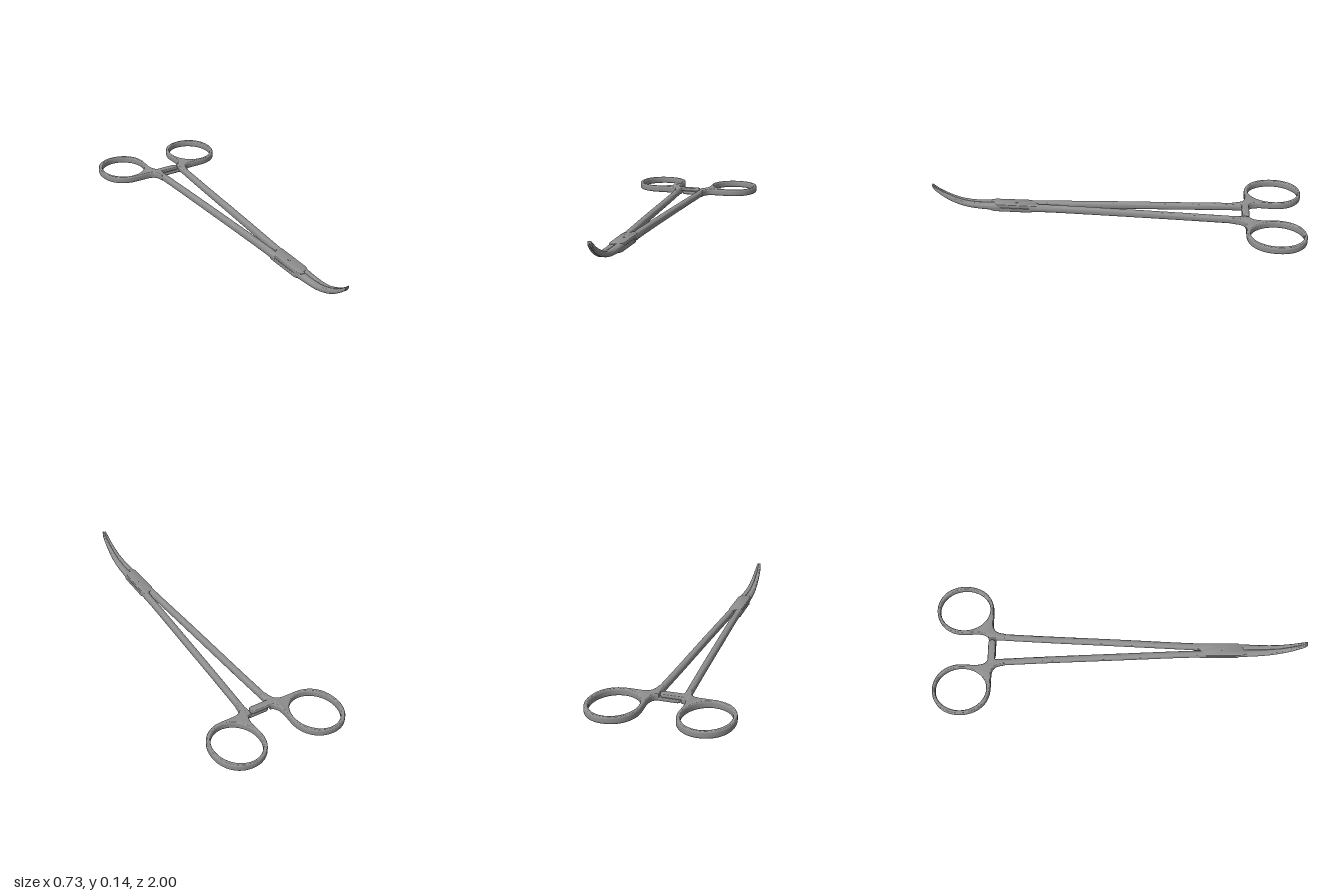
import * as THREE from 'three';
import { toCreasedNormals } from 'three/addons/utils/BufferGeometryUtils.js';

const steel = new THREE.MeshStandardMaterial({ color: 0x909090 });

function part(name, geometry) {
  const mesh = new THREE.Mesh(toCreasedNormals(geometry, 0.7), steel);
  mesh.name = name;
  return mesh;
}

// Flat part: outline drawn in (u, z), mirrored by side, between two heights
function plate(name, outline, side, y0, y1, bevelHeight, bevelWidth) {
  const map = (path, n) => path.getPoints(n).map((p) => new THREE.Vector2(side * p.x, -p.y));
  const shape = new THREE.Shape(map(outline, 16));
  shape.holes = outline.holes.map((h) => new THREE.Path(map(h, 64)));
  const geo = new THREE.ExtrudeGeometry(shape, {
    depth: y1 - y0 - 2 * bevelHeight, bevelEnabled: true, bevelThickness: bevelHeight,
    bevelSize: bevelWidth, bevelOffset: -bevelWidth, bevelSegments: 4,
  });
  geo.rotateX(-Math.PI / 2).translate(0, y0 + bevelHeight, 0);
  return part(name, geo);
}

// Bar lofted along z through stations [z, inner, outer, bottom, top];
// powers set how square the +u and -u halves of the section are
function loft(name, stations, side, powers, steps) {
  const N = 28, pos = [], index = [];
  const widths = new THREE.CatmullRomCurve3(stations.map((s) => new THREE.Vector3(s[0], s[1], s[2])));
  const heights = new THREE.CatmullRomCurve3(stations.map((s) => new THREE.Vector3(s[0], s[3], s[4])));
  const round = (v, power) => Math.sign(v) * Math.abs(v) ** (2 / power);
  const tri = (a, b, c) => (side > 0 ? index.push(a, b, c) : index.push(a, c, b));
  const centres = [];
  for (let i = 0; i <= steps; i++) {
    const w = widths.getPoint(i / steps), h = heights.getPoint(i / steps);
    const uc = (w.y + w.z) / 2, ru = Math.abs(w.z - w.y) / 2;
    const yc = (h.y + h.z) / 2, ry = (h.z - h.y) / 2;
    centres.push([side * uc, yc, w.x]);
    for (let j = 0; j < N; j++) {
      const a = (j / N) * Math.PI * 2;
      const power = Math.cos(a) > 0 ? powers[0] : powers[1];
      pos.push(side * (uc + ru * round(Math.cos(a), power)), yc + ry * round(Math.sin(a), power), w.x);
    }
  }
  const first = pos.length / 3;
  pos.push(...centres[0], ...centres[steps]);
  for (let j = 0; j < N; j++) {
    const k = (j + 1) % N;
    for (let i = 0; i < steps; i++) {
      const a = i * N + j, b = i * N + k;
      tri(a, b, a + N);
      tri(b, b + N, a + N);
    }
    tri(first, k, j);
    tri(first + 1, steps * N + j, steps * N + k);
  }
  const geo = new THREE.BufferGeometry();
  geo.setAttribute('position', new THREE.Float32BufferAttribute(pos, 3));
  geo.setIndex(index);
  return part(name, geo);
}

// Finger ring flowing into the top of the shank
function handleOutline() {
  const s = new THREE.Shape();
  s.moveTo(0.057, -0.62);
  s.lineTo(0.087, -0.62);
  s.bezierCurveTo(0.091, -0.67, 0.105, -0.69, 0.15, -0.69);
  s.lineTo(0.215, -0.69);
  s.bezierCurveTo(0.31, -0.69, 0.365, -0.76, 0.365, -0.85);
  s.bezierCurveTo(0.365, -0.935, 0.31, -1, 0.228, -1);
  s.bezierCurveTo(0.145, -1, 0.088, -0.935, 0.088, -0.85);
  s.lineTo(0.092, -0.78);
  s.bezierCurveTo(0.09, -0.735, 0.08, -0.715, 0.056, -0.712);
  s.lineTo(0.056, -0.672);
  s.bezierCurveTo(0.06, -0.665, 0.059, -0.65, 0.057, -0.62);
  s.holes.push(new THREE.Path().absellipse(0.226, -0.847, 0.119, 0.136, 0, Math.PI * 2));
  return s;
}

// Ratchet bar reaching across to the other handle
function ratchetOutline() {
  const s = new THREE.Shape();
  s.moveTo(0.085, -0.712);
  s.lineTo(-0.033, -0.712);
  s.absarc(-0.033, -0.692, 0.02, -Math.PI / 2, Math.PI / 2, true);
  s.lineTo(0.085, -0.672);
  return s;
}

// Half of the box lock, crossing from the shank side to the jaw side
function lockOutline() {
  const s = new THREE.Shape();
  s.moveTo(0.036, 0.435);
  s.lineTo(0.035, 0.64);
  s.quadraticCurveTo(0.02, 0.665, 0, 0.67);
  s.lineTo(-0.006, 0.685);
  s.lineTo(-0.026, 0.685);
  s.lineTo(-0.034, 0.66);
  s.lineTo(-0.036, 0.468);
  s.quadraticCurveTo(-0.022, 0.44, 0, 0.432);
  s.lineTo(0.006, 0.42);
  s.lineTo(0.03, 0.42);
  return s;
}

const shank = [
  [-0.67, 0.057, 0.089, 0.012, 0.05], [-0.4, 0.042, 0.075, 0.011, 0.049],
  [0, 0.023, 0.057, 0.009, 0.048], [0.36, 0.006, 0.04, 0.005, 0.045],
  [0.47, 0.001, 0.037, 0.002, 0.042],
];
const jaw = [
  [0.63, 0, -0.0355, 0.002, 0.042], [0.74, 0, -0.031, 0.006, 0.039],
  [0.8, 0, -0.028, 0.012, 0.043], [0.86, 0, -0.024, 0.026, 0.056],
  [0.92, 0, -0.02, 0.053, 0.081], [0.965, 0, -0.0165, 0.084, 0.107],
  [0.99, 0, -0.0135, 0.106, 0.127], [1, -0.001, -0.01, 0.123, 0.136],
];

export function createModel() {
  const model = new THREE.Group();
  model.name = 'curvedClamp';
  for (const side of [1, -1]) {
    const arm = new THREE.Group();
    arm.name = side > 0 ? 'leftArm' : 'rightArm';
    const lockY = side > 0 ? [0.022, 0.043] : [0, 0.022];
    const ratchetY = side > 0 ? [0.011, 0.031] : [0.031, 0.051];
    arm.add(
      plate('fingerRing', handleOutline(), side, 0.012, 0.05, 0.01, 0.006),
      plate('ratchet', ratchetOutline(), side, ...ratchetY, 0.007, 0.006),
      loft('shank', shank, side, [2.8, 2.8], 32),
      plate('boxLock', lockOutline(), side, ...lockY, 0.005, 0.004),
      loft('jaw', jaw, side, [6, 2.4], 40),
    );
    model.add(arm);
  }
  // Pivot pin through the box lock
  const pin = part('pivotPin', new THREE.CylinderGeometry(0.008, 0.008, 0.044, 24));
  pin.position.set(0, 0.0225, 0.545);
  model.add(pin);
  return model;
}
